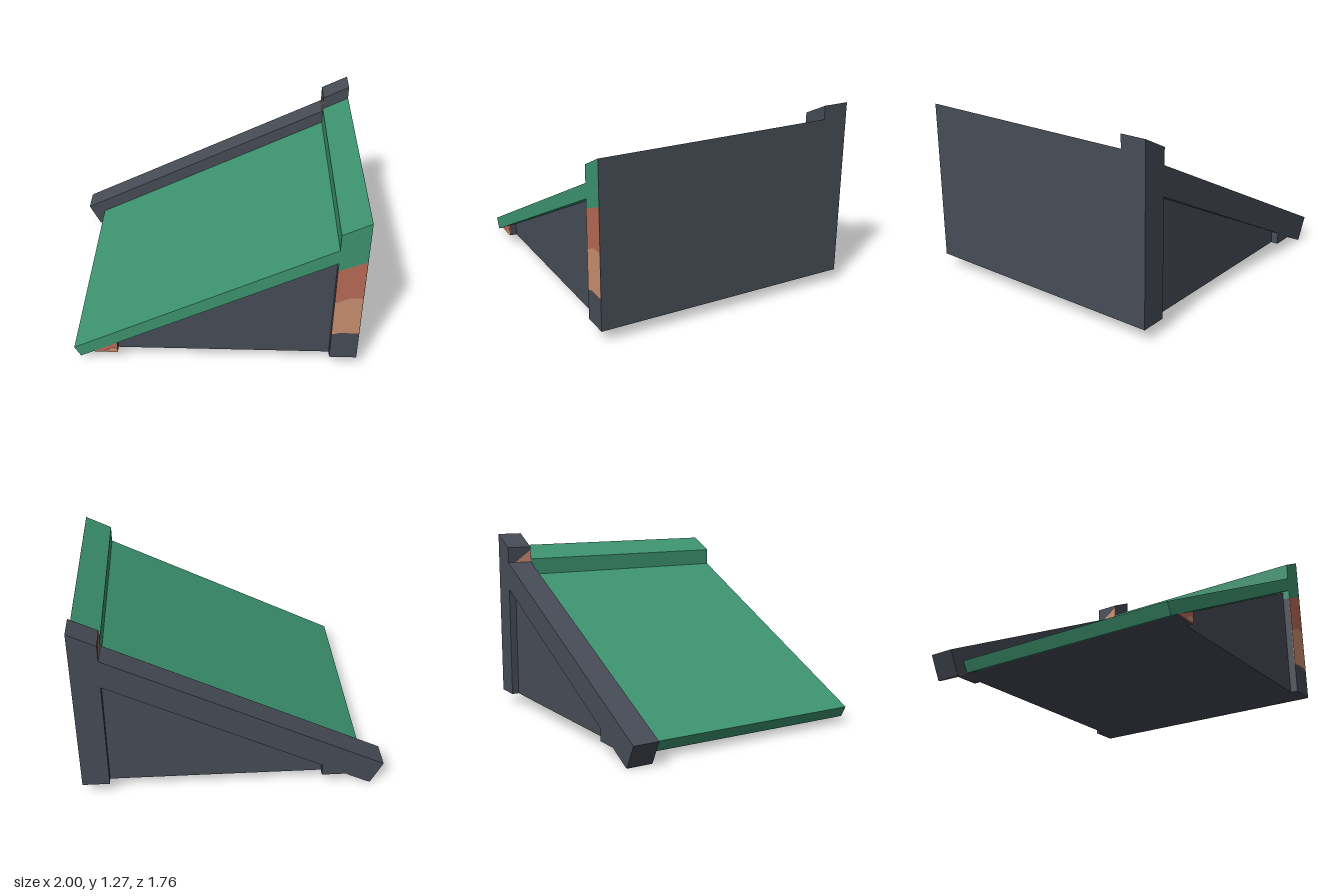
import * as THREE from 'three';

const mat = (name, color) => Object.assign(new THREE.MeshStandardMaterial({ color }), { name });

export function createModel() {
  const slate = mat('slate', 0x474c56);
  const green = mat('roofGreen', 0x3d9471);
  const red = mat('brickRed', 0xb86a56);
  const tan = mat('clayTan', 0xca8e70);
  const model = new THREE.Group();

  // Extrudes an x-y outline from z0 to z1
  function slab(name, points, z0, z1, material) {
    const shape = new THREE.Shape(points.map(([x, y]) => new THREE.Vector2(x, y)));
    const geometry = new THREE.ExtrudeGeometry(shape, { depth: z1 - z0, bevelEnabled: false });
    geometry.translate(0, 0, z0);
    const mesh = new THREE.Mesh(geometry, material);
    mesh.name = name;
    model.add(mesh);
    return mesh;
  }

  const base = 0.085, step = 0.82, depth = 0.88, inner = -0.705;
  const eave = [-0.76, base];

  // Wedge body with recessed gables
  slab('body', [eave, [0.998, base], [0.998, 0.95], [step, 0.87]], -0.83, 0.83, slate);

  // Tall side wall
  slab('sideWall', [[0.997, base], [1, base], [1, 1.18], [0.997, 1.178]], -depth, depth, slate);

  // Green roof with raised ridge
  slab('roof', [[-0.84, 0.045], [step, 0.875], [step, 0.815], [0.997, 0.889], [0.997, 1.179],
    [step, 1.09], [step, 0.975], [-0.88, 0.12]], inner - 0.02, depth, green);

  // Back gable frame with parapet
  slab('backFrame', [[-0.92, 0.002], [step, 0.875], [step, base], [1, base], [1, 1.27],
    [step, 1.18], [step, 1.07], [-1, 0.16]], -depth, -0.83, slate);
  slab('parapet', [[-0.92, 0.002], [step, 0.875], [1, 0.96], [1, 1.27],
    [step, 1.18], [step, 1.07], [-1, 0.16]], -0.83, inner, slate);

  // Front post with coloured face bands
  slab('frontPost', [[step, base], [0.998, base], [0.998, 0.888], [step, 0.815]], 0.83, 0.875, slate);
  slab('postFoot', [[step, base], [0.997, base], [0.997, 0.3], [0.87, 0.3], [step, 0.285]],
    0.875, depth, slate);
  slab('postTanBand', [[step, 0.285], [0.87, 0.3], [0.997, 0.3], [0.997, 0.6], [0.91, 0.595], [step, 0.555]],
    0.875, depth, tan);
  slab('postRedBand', [[step, 0.555], [0.91, 0.595], [0.997, 0.6], [0.997, 0.889], [step, 0.815]],
    0.875, depth, red);

  // Small eave brackets at both gables
  const bracket = [eave, [-0.59, base], [-0.59, 0.168]];
  slab('backBracket', bracket, -depth, -0.83, slate);
  slab('frontBracket', bracket, 0.83, 0.873, slate);
  slab('frontBracketFace', bracket, 0.873, 0.878, red);
  slab('frontBracketPatch', [[-0.69, base], [-0.6, base], [-0.59, 0.115], [-0.62, 0.125]], 0.878, depth, tan);

  // Coloured strips under the beam end
  const under = (name, x0, x1, material) => {
    const y = (x) => 0.002 + (x + 0.92) * 0.5017;
    slab(name, [[x0, y(x0) - 0.003], [x1, y(x1) - 0.003], [x1, y(x1) + 0.002], [x0, y(x0) + 0.002]],
      -depth, inner, material);
  };
  under('beamTanStrip', -0.905, -0.84, tan);
  under('beamRedStrip', -0.84, -0.765, red);

  // Coloured patch on the parapet step
  const patch = slab('parapetPatch', [[inner, 1.07], [inner, 1.16], [-0.83, 1.07]], 0, 0.004, tan);
  patch.rotation.y = -Math.PI / 2;
  patch.position.x = step;

  return model;
}
